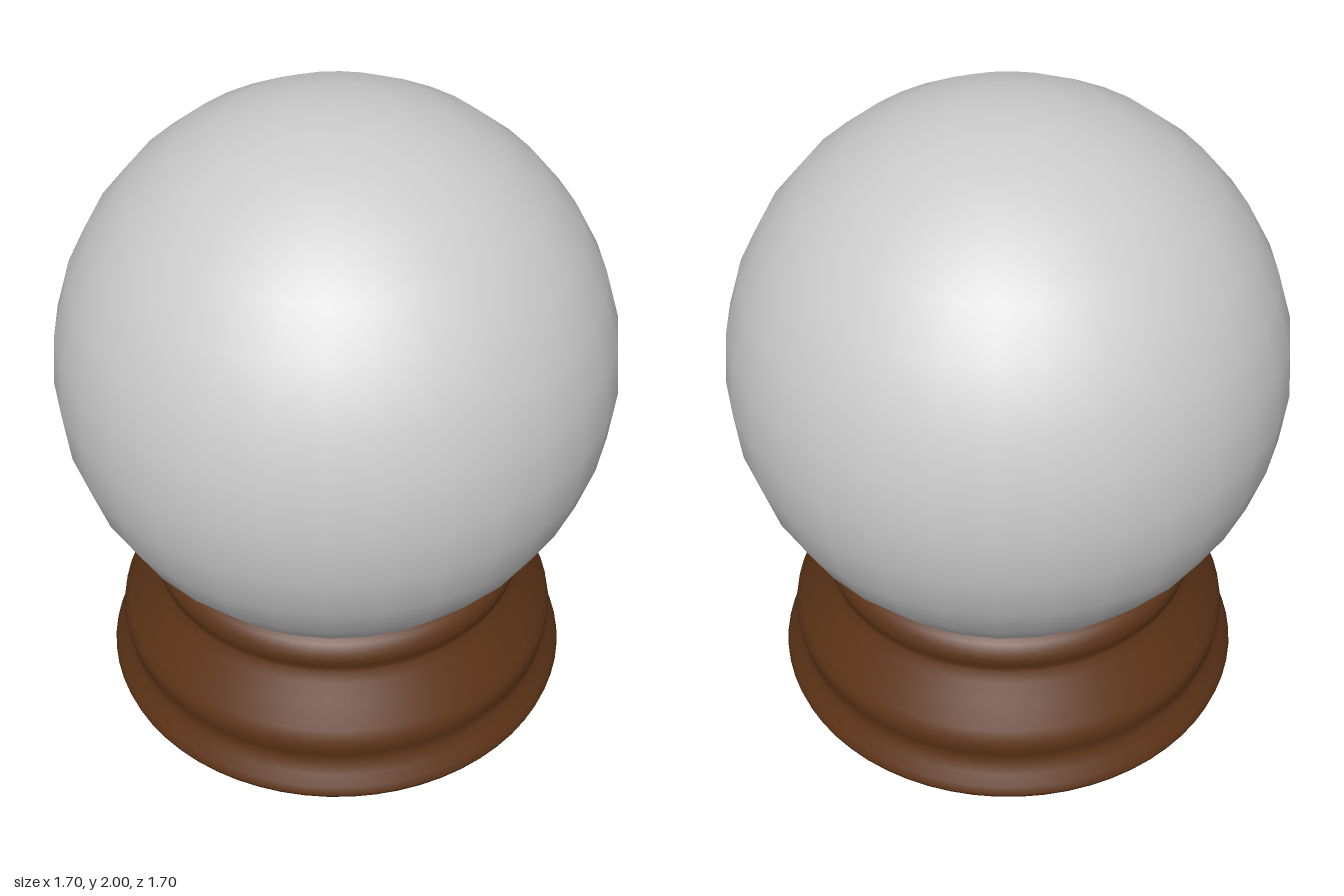
import * as THREE from 'three';

// Turned outline of the pedestal, from the floor up: [radius, height]
const PROFILE = [
  [0.735, 0], [0.748, 0.006], [0.752, 0.02], [0.742, 0.042], [0.72, 0.075],
  [0.703, 0.105], [0.699, 0.13], [0.707, 0.155], [0.711, 0.185], [0.706, 0.212],
  [0.69, 0.24], [0.65, 0.303], [0.61, 0.364], [0.592, 0.395], [0.591, 0.41],
  [0.6, 0.43], [0.604, 0.455], [0.597, 0.482], [0.58, 0.5], [0.548, 0.517],
];

export function createModel() {
  const group = new THREE.Group();
  const wood = new THREE.MeshStandardMaterial({ color: 0x5c3317 });
  const grey = new THREE.MeshStandardMaterial({ color: 0xcccccc });

  const add = (name, geometry, material, y, parent = group) => {
    const mesh = new THREE.Mesh(geometry, material);
    mesh.name = name;
    mesh.position.y = y;
    parent.add(mesh);
    return mesh;
  };

  // Glass ball with the filling just inside it
  add('glassGlobe', new THREE.SphereGeometry(0.85, 32, 16), grey, 1.15);
  add('globeFilling', new THREE.SphereGeometry(0.835, 32, 16), grey, 1.15);

  // Wooden pedestal: turned side wall, flat underside and flat seat for the ball
  const pedestal = new THREE.Group();
  pedestal.name = 'pedestal';
  group.add(pedestal);
  const points = PROFILE.map(([r, y]) => new THREE.Vector2(r, y));
  add('pedestalWall', new THREE.LatheGeometry(points, 64), wood, 0, pedestal);
  const [bottom, top] = [points[0], points[points.length - 1]];
  add('pedestalUnderside', new THREE.CircleGeometry(bottom.x, 64).rotateX(Math.PI / 2), wood, bottom.y, pedestal);
  add('pedestalSeat', new THREE.CircleGeometry(top.x, 64).rotateX(-Math.PI / 2), wood, top.y, pedestal);

  return group;
}
